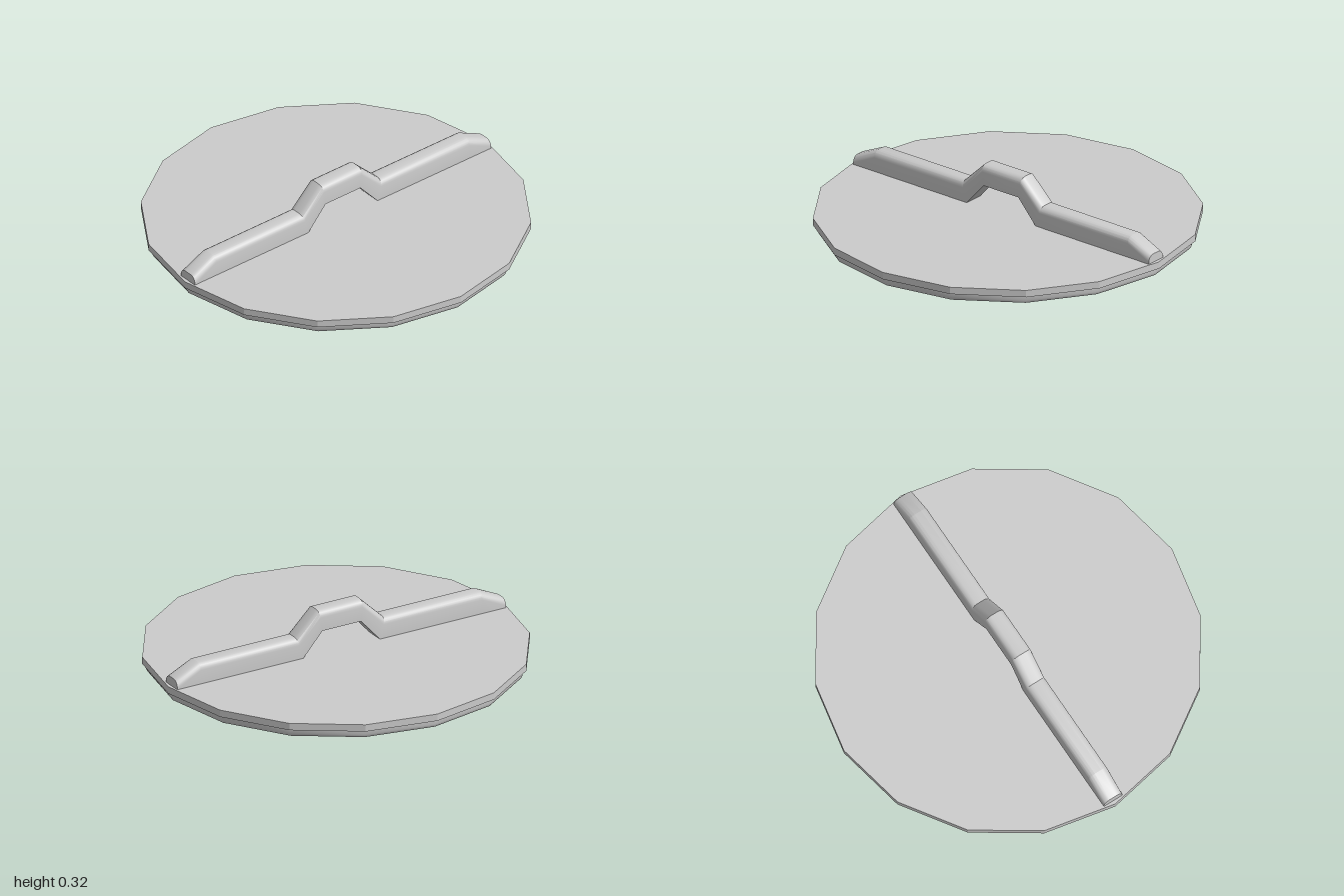
import * as THREE from 'three';
import { toCreasedNormals } from 'three/addons/utils/BufferGeometryUtils.js';

const material = new THREE.MeshStandardMaterial({ color: 0xcccccc });

function addPart(parent, name, geometry, crease) {
  const mesh = new THREE.Mesh(toCreasedNormals(geometry, crease), material);
  mesh.name = name;
  parent.add(mesh);
  return mesh;
}

// Sweeps a round-topped section through stations of [bottomX, bottomY, topX, topY]
function handleGeometry(stations, halfWidth, radius) {
  const positions = [], index = [];
  const arcSteps = 4;
  let n = 0;
  for (const [bx, by, tx, ty] of stations) {
    const height = Math.hypot(tx - bx, ty - by);
    const section = [[halfWidth, 0]];
    for (let s = 0; s <= arcSteps; s++) {
      const a = (s / arcSteps) * Math.PI / 2;
      section.push([
        halfWidth - radius + radius * Math.cos(a),
        1 - (radius - radius * Math.sin(a)) / height,
      ]);
    }
    const ring = [...section, ...section.map(([z, t]) => [-z, t]).reverse()];
    n = ring.length;
    for (const [z, t] of ring) positions.push(bx + (tx - bx) * t, by + (ty - by) * t, z);
  }
  const last = (stations.length - 1) * n;
  for (let i = 0; i < stations.length - 1; i++) {
    for (let k = 0; k < n; k++) {
      const a = i * n + k, d = i * n + (k + 1) % n;
      index.push(a, a + n, d + n, a, d + n, d);
    }
  }
  for (let k = 1; k < n - 1; k++) {
    index.push(0, k, k + 1, last, last + k + 1, last + k);
  }
  const geometry = new THREE.BufferGeometry();
  geometry.setAttribute('position', new THREE.Float32BufferAttribute(positions, 3));
  geometry.setIndex(index);
  return geometry;
}

export function createModel() {
  const lid = new THREE.Group();
  lid.name = 'lid';

  // Sixteen-sided plate
  const plate = addPart(lid, 'plate', new THREE.CylinderGeometry(1, 1, 0.038, 16), 0.3);
  plate.position.y = 0.069;

  // Rounded rim under the plate
  const rimProfile = [
    [0.89, 0.052], [0.89, 0.022], [0.897, 0.007], [0.915, 0], [0.955, 0],
    [0.973, 0.007], [0.98, 0.022], [0.98, 0.052],
  ].map(([r, y]) => new THREE.Vector2(r, y));
  addPart(lid, 'rim', new THREE.LatheGeometry(rimProfile, 16), 0.8);

  // Crossed stiffening ribs on the underside, slightly turned
  const ribs = new THREE.Group();
  ribs.name = 'ribs';
  ribs.rotation.y = -0.115;
  lid.add(ribs);
  const ribWidth = 0.085, ribHeight = 0.045;
  for (const side of [-1, 1]) {
    for (const [along, offset] of [['x', 0.41], ['z', 0.51]]) {
      const length = 2 * Math.sqrt(0.9 ** 2 - offset ** 2);
      const isX = along === 'x';
      const box = new THREE.BoxGeometry(
        isX ? length : ribWidth, ribHeight, isX ? ribWidth : length);
      const rib = addPart(ribs, isX ? 'crossRib' : 'lengthRib', box, 0.3);
      rib.position.set(isX ? 0 : side * offset, isX ? 0.0305 : 0.031, isX ? side * offset : 0);
    }
  }

  // Full-width handle bar with a raised grip in the middle
  const half = [
    [0.115, 0.215, 0.13, 0.325],
    [0.23, 0.086, 0.26, 0.2],
    [0.84, 0.086, 0.84, 0.2],
    [0.98, 0.086, 0.98, 0.135],
  ];
  const mirrored = half.map(([bx, by, tx, ty]) => [-bx, by, -tx, ty]).reverse();
  addPart(lid, 'handle', handleGeometry([...mirrored, ...half], 0.056, 0.036), 0.45);

  return lid;
}
